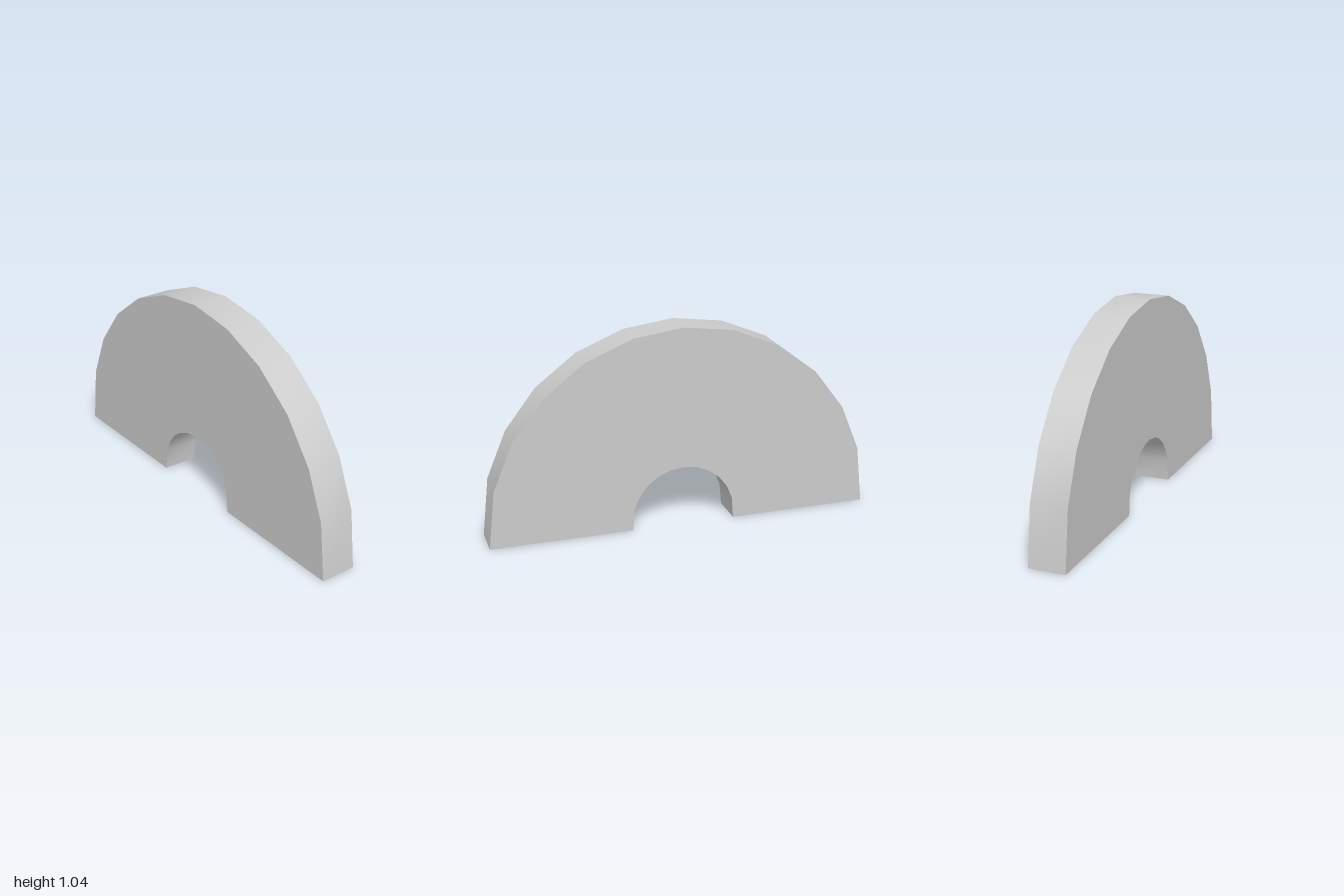
import * as THREE from 'three';
import { toCreasedNormals } from 'three/addons/utils/BufferGeometryUtils.js';

const CENTRE_Y = 0.043;
const DEPTH = 0.186;
const STEPS = 12;

// Half circle in 15 degree steps, whose two end points drop to the ground
function archPoints(radius) {
  const points = [];
  for (let i = 0; i <= STEPS; i++) {
    const a = (i / STEPS) * Math.PI;
    const isEnd = i === 0 || i === STEPS;
    points.push(new THREE.Vector2(
      radius * Math.cos(a),
      isEnd ? 0 : CENTRE_Y + radius * Math.sin(a)
    ));
  }
  return points;
}

export function createModel() {
  const group = new THREE.Group();
  group.name = 'archModel';

  // Flat half ring: outer rim one way, inner opening back
  const shape = new THREE.Shape([...archPoints(1), ...archPoints(0.27).reverse()]);
  const extruded = new THREE.ExtrudeGeometry(shape, { depth: DEPTH, bevelEnabled: false });
  extruded.translate(0, 0, -DEPTH / 2);

  // Smooth rims, sharp face edges
  const arch = new THREE.Mesh(
    toCreasedNormals(extruded, 0.6),
    new THREE.MeshStandardMaterial({ color: 0xcccccc })
  );
  arch.name = 'arch';
  group.add(arch);
  return group;
}
